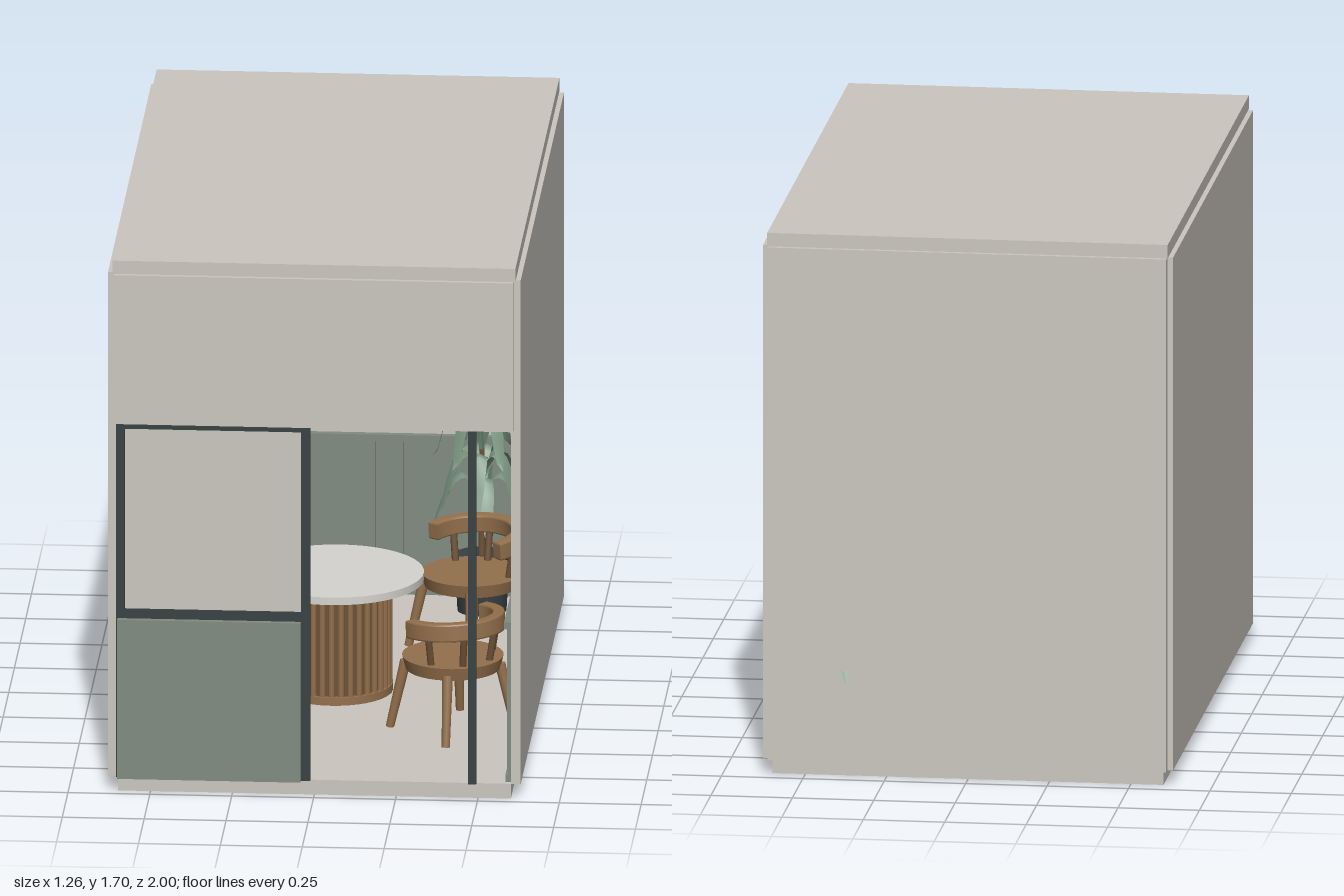
import * as THREE from 'three';

const mat = (name, color, side = THREE.FrontSide) => {
  const m = new THREE.MeshStandardMaterial({ color, side });
  m.name = name;
  return m;
};

export function createModel() {
  const plaster = mat('plaster', 0xcbc7bf);
  const sage = mat('sage panel', 0x808c80);
  const metal = mat('dark metal', 0x384042);
  const wood = mat('wood', 0x94704c);
  const darkWood = mat('dark wood', 0x6e5238);
  const white = mat('white', 0xd6d4d0);
  const leafGreen = mat('leaf', 0x7a9580, THREE.DoubleSide);

  const model = new THREE.Group();
  model.name = 'diningRoom';
  const add = (name, geo, material, x = 0, y = 0, z = 0, parent = model) => {
    const m = new THREE.Mesh(geo, material);
    m.name = name;
    m.position.set(x, y, z);
    parent.add(m);
    return m;
  };
  // box given by its lower and upper corners
  const box = (name, material, x0, x1, y0, y1, z0, z1, parent = model) =>
    add(name, new THREE.BoxGeometry(x1 - x0, y1 - y0, z1 - z0), material,
      (x0 + x1) / 2, (y0 + y1) / 2, (z0 + z1) / 2, parent);
  // round bar between two points
  const bar = (name, material, a, b, r0, r1, parent) => {
    const p = new THREE.Vector3(...a), q = new THREE.Vector3(...b);
    const d = q.clone().sub(p);
    const m = add(name, new THREE.CylinderGeometry(r1, r0, d.length(), 10), material, 0, 0, 0, parent);
    m.position.copy(p).add(q).multiplyScalar(0.5);
    m.quaternion.setFromUnitVectors(new THREE.Vector3(0, 1, 0), d.normalize());
    return m;
  };

  // Shell
  const F = 0.047, T = 1.655;
  box('floor', plaster, -0.6, 0.6, 0, F, -0.94, 0.967);
  box('roof', plaster, -0.615, 0.615, T, 1.697, -0.957, 0.985);
  box('backWall', plaster, -0.612, 0.612, F, T, -0.972, -0.942);
  box('leftWall', plaster, 0.6, 0.63, F, T, -0.942, 0.967);
  box('rightWall', plaster, -0.63, -0.6, F, T, -0.942, 0.967);
  box('fascia', plaster, -0.61, 0.61, 1.18, T, 0.967, 1);

  // Shop front
  box('frontPanel', sage, -0.6, -0.04, F, 0.555, 0.967, 1);
  box('windowPane', plaster, -0.58, -0.04, 0.585, 1.16, 0.97, 0.976);
  const z0 = 0.964, z1 = 0.982;
  box('framePost', metal, -0.605, -0.578, F, 1.18, z0, z1);
  box('framePost', metal, -0.04, -0.012, F, 1.18, z0, z1);
  box('framePost', metal, 0.47, 0.495, F, 1.18, z0, z1);
  box('frameTop', metal, -0.6, -0.015, 1.16, 1.18, z0, z1);
  box('frameSill', metal, -0.6, -0.015, 0.555, 0.585, z0, z1);

  // Wainscot: backing, battens and cap rail on three walls
  const wainscot = (length, x, z, turn) => {
    const g = new THREE.Group();
    g.name = 'wainscot';
    g.position.set(x, 0, z);
    g.rotation.y = turn;
    const h = length / 2;
    box('backing', sage, -h, h, F, 0.545, 0, 0.008, g);
    box('skirting', sage, -h, h, F, 0.07, 0.008, 0.018, g);
    box('capRail', sage, -h, h, 0.535, 0.557, 0, 0.022, g);
    const n = Math.round(length / 0.085);
    for (let i = 0; i < n; i++) {
      const c = -h + (i + 0.5) * length / n;
      box('batten', sage, c - 0.013, c + 0.013, 0.07, 0.535, 0.008, 0.015, g);
    }
    model.add(g);
  };
  wainscot(1.2, 0, -0.942, 0);
  wainscot(1.88, -0.6, 0.01, Math.PI / 2);
  wainscot(1.88, 0.6, 0.01, -Math.PI / 2);
  box('wallSwitch', metal, 0.582, 0.6, 0.572, 0.618, 0.3, 0.335);

  // Round table on a slatted drum
  const table = new THREE.Group();
  table.name = 'table';
  table.position.set(0, 0, 0.04);
  model.add(table);
  add('tableTop', new THREE.CylinderGeometry(0.27, 0.27, 0.024, 48), white, 0, 0.41, 0, table);
  add('drumCore', new THREE.CylinderGeometry(0.163, 0.163, 0.35, 40), darkWood, 0, 0.223, 0, table);
  add('drumFoot', new THREE.CylinderGeometry(0.176, 0.176, 0.025, 40), wood, 0, F + 0.0125, 0, table);
  for (let i = 0; i < 36; i++) {
    const a = i / 36 * Math.PI * 2;
    add('slat', new THREE.CylinderGeometry(0.01, 0.01, 0.325, 8), wood,
      Math.cos(a) * 0.165, 0.235, Math.sin(a) * 0.165, table);
  }

  // Chair: round seat, splayed legs and a curved back facing away from the table (+z)
  const arcShape = new THREE.Shape();
  const spread = 1.72;
  arcShape.absarc(0, 0, 0.155, -Math.PI / 2 - spread, -Math.PI / 2 + spread, false);
  arcShape.absarc(0, 0, 0.13, -Math.PI / 2 + spread, -Math.PI / 2 - spread, true);
  const backGeo = new THREE.ExtrudeGeometry(arcShape,
    { depth: 0.045, bevelEnabled: true, bevelSize: 0.006, bevelThickness: 0.006, bevelSegments: 2, curveSegments: 28 });
  backGeo.rotateX(-Math.PI / 2);
  const chair = (x, z) => {
    const g = new THREE.Group();
    g.name = 'chair';
    g.position.set(x, 0, z);
    g.rotation.y = Math.atan2(x, z);
    add('seat', new THREE.CylinderGeometry(0.155, 0.145, 0.04, 36), wood, 0, 0.265, 0, g);
    for (let i = 0; i < 4; i++) {
      const a = Math.PI / 4 + i * Math.PI / 2, c = Math.cos(a), s = Math.sin(a);
      bar('leg', wood, [c * 0.193, F, s * 0.193], [c * 0.145, 0.26, s * 0.145], 0.013, 0.017, g);
    }
    for (const a of [0.35, 1.15, 2, 2.8])
      bar('backPost', darkWood, [Math.cos(a) * 0.125, 0.28, Math.sin(a) * 0.125],
        [Math.cos(a) * 0.142, 0.38, Math.sin(a) * 0.142], 0.011, 0.011, g);
    const back = add('backRest', backGeo, wood, 0, 0.367, 0, g);
    back.rotation.x = -0.08;
    model.add(g);
  };
  for (const sx of [-1, 1]) for (const sz of [-1, 1]) chair(sx * 0.385, sz * 0.42);

  // Pendant lamp with globes on arms
  const lamp = new THREE.Group();
  lamp.name = 'pendantLamp';
  model.add(lamp);
  bar('stem', metal, [0, 1.13, 0], [0, T, 0], 0.008, 0.008, lamp);
  add('ceilingRose', new THREE.CylinderGeometry(0.05, 0.05, 0.02, 24), wood, 0, T - 0.01, 0, lamp);
  add('hub', new THREE.SphereGeometry(0.035, 24, 16), wood, 0, 1.137, 0, lamp);
  for (let i = 0; i < 6; i++) {
    const a = i * Math.PI / 3, c = Math.cos(a), s = Math.sin(a);
    bar('arm', metal, [0, 1.137, 0], [c * 0.17, 1.175, s * 0.17], 0.008, 0.008, lamp);
    add('globe', new THREE.SphereGeometry(0.05, 24, 16), white, c * 0.195, 1.192, s * 0.195, lamp);
  }

  // Potted plant with arching, tapered leaves
  const plant = new THREE.Group();
  plant.name = 'plant';
  plant.position.set(0.39, 0, -0.79);
  model.add(plant);
  add('pot', new THREE.CylinderGeometry(0.085, 0.075, 0.175, 28), metal, 0, F + 0.0875, 0, plant);
  bar('trunk', darkWood, [0, 0.2, 0], [0, 0.56, 0], 0.012, 0.008, plant);
  const leaf = (angle, base, rise, reach, drop) => {
    const geo = new THREE.PlaneGeometry(1, 1, 2, 8);
    const p = geo.attributes.position;
    for (let i = 0; i < p.count; i++) {
      const t = p.getY(i) + 0.5, side = p.getX(i);
      const w = 0.05 * Math.pow(Math.sin(Math.PI * (0.08 + 0.92 * t)), 0.7);
      const y = base + rise * Math.sin(Math.PI * Math.min(t * 1.1, 1)) - drop * t * t;
      p.setXYZ(i, side * w, y - Math.abs(side) * w * 0.4, reach * t);
    }
    geo.computeVertexNormals();
    add('leaf', geo, leafGreen, 0, 0, 0, plant).rotation.y = angle;
  };
  for (let i = 0; i < 6; i++) {
    const a = i * Math.PI / 3;
    leaf(a + 0.5, 0.56, 0.17, 0.155, 0.03);
    leaf(a + 1.0, 0.46, 0.12, 0.15, 0.1);
  }
  // low leaves, one of them reaching past the back wall
  for (const [a, reach] of [[Math.PI + 0.1, 0.21], [-1.3, 0.17], [0.2, 0.17], [1.4, 0.16]])
    leaf(a, 0.42, 0.09, reach, 0.125);

  return model;
}
